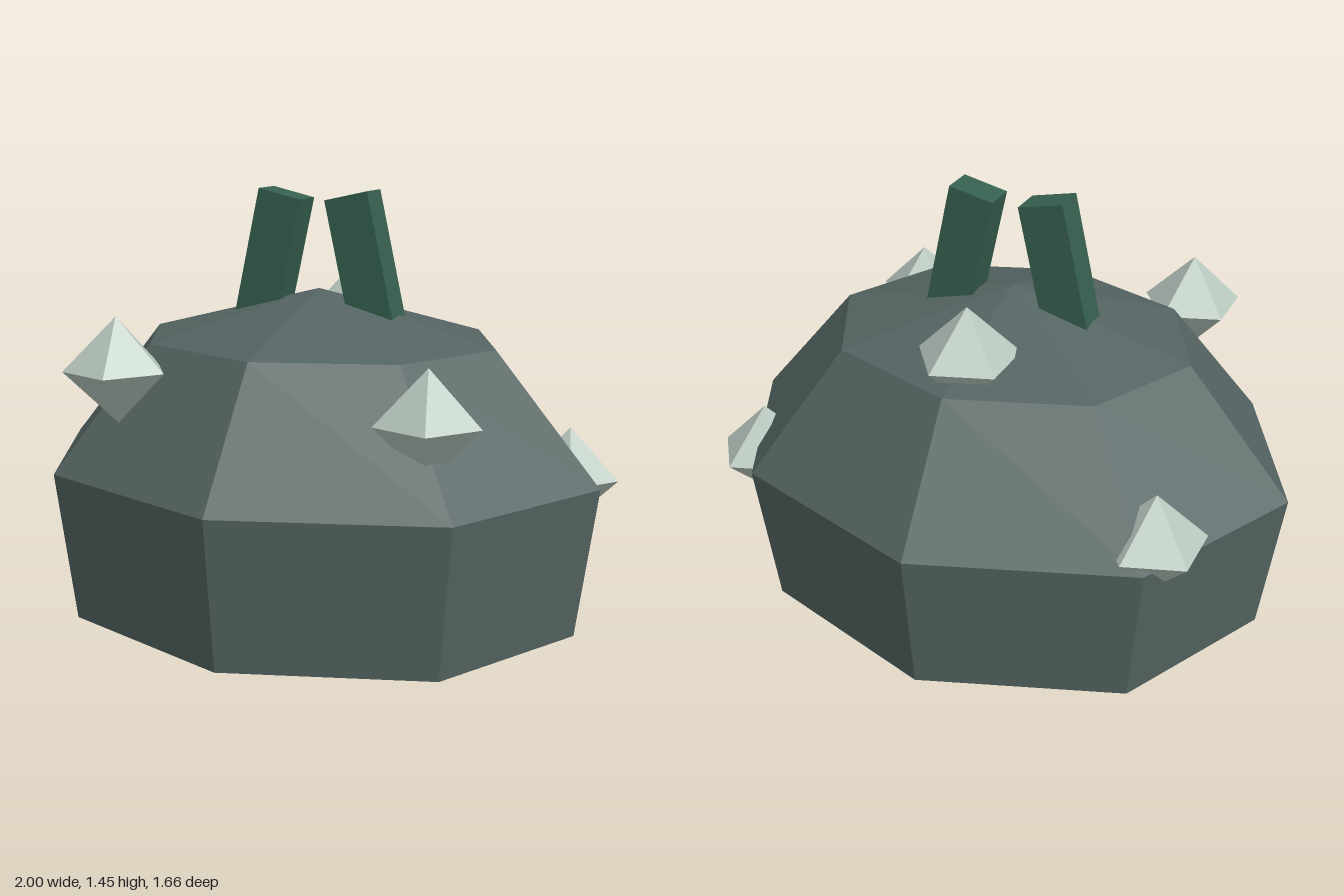
import * as THREE from 'three';

const stone = new THREE.MeshStandardMaterial({ name: 'slate stone', color: 0x546462, flatShading: true });
const crystal = new THREE.MeshStandardMaterial({ name: 'pale crystal', color: 0xb8c8be, flatShading: true });
const green = new THREE.MeshStandardMaterial({ name: 'dark green', color: 0x36604f, flatShading: true });

export function createModel() {
  const model = new THREE.Group();
  const add = (name, geometry, material, x = 0, y = 0, z = 0) => {
    const mesh = new THREE.Mesh(geometry, material);
    mesh.name = name;
    mesh.position.set(x, y, z);
    model.add(mesh);
    return mesh;
  };

  // Eight-sided faceted body with a closed base, narrower front to back
  const profile = [[0, 0], [0.93, 0], [1, 0.51], [0.637, 0.94], [0, 1.108]]
    .map(([r, y]) => new THREE.Vector2(r, y));
  const body = new THREE.LatheGeometry(profile, 8).scale(1, 1, 0.83);
  add('body', body, stone);

  // Five-sided double pyramids, each with one corner towards +x
  const spike = new THREE.SphereGeometry(0.175, 5, 2).rotateY(Math.PI);
  [
    [-0.455, 0.885, 0.57],
    [0.575, 0.78, 0.457],
    [0, 1.0, -0.343],
    [0.803, 0.45, -0.343],
    [-0.692, 0.55, -0.45],
  ].forEach(([x, y, z], i) => add(`crystal${i + 1}`, spike, crystal, x, y, z));

  // Two square horns leaning towards each other
  const horn = new THREE.BoxGeometry(0.158, 0.5, 0.115);
  for (const side of [-1, 1]) {
    const mesh = add(side < 0 ? 'rightHorn' : 'leftHorn', horn, green, side * 0.177, 1.184, 0);
    mesh.rotation.z = side * 0.22;
  }
  return model;
}
